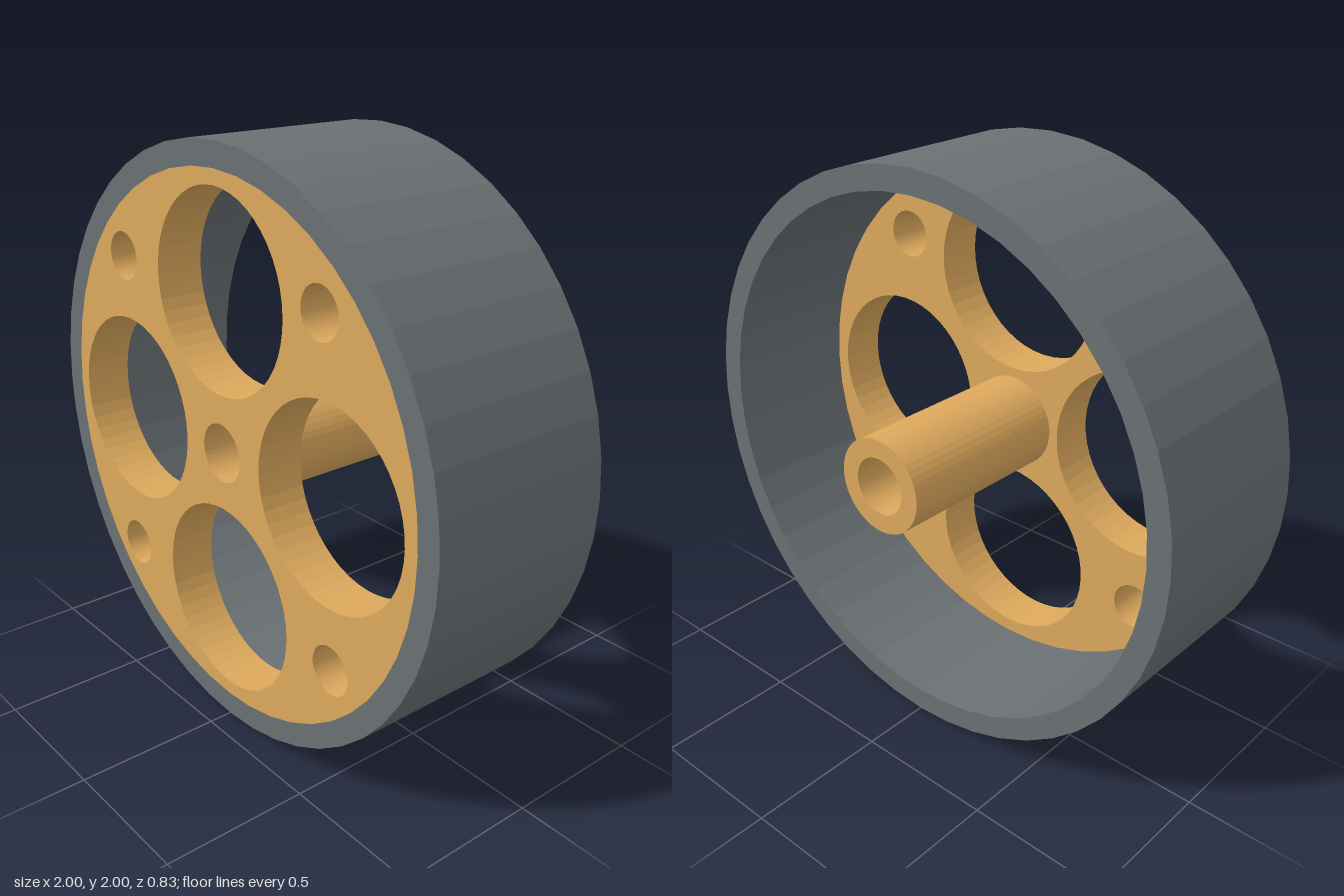
import * as THREE from 'three';

const SEGMENTS = 48;
const FRONT = 0.417, BACK = -0.25, PLATE = 0.167;

// Circle as an n-sided outline, optionally clockwise for holes
function circle(PathType, x, y, r) {
  const points = [];
  for (let i = 0; i < SEGMENTS; i++) {
    const a = (i / SEGMENTS) * Math.PI * 2;
    points.push(new THREE.Vector2(x + r * Math.cos(a), y + r * Math.sin(a)));
  }
  return new PathType(points);
}

// Disc with round holes [x, y, r], extruded between two z positions
function drilledDisc(name, radius, holes, zBack, zFront, material) {
  const shape = circle(THREE.Shape, 0, 0, radius);
  for (const [x, y, r] of holes) shape.holes.push(circle(THREE.Path, x, y, r));
  const geometry = new THREE.ExtrudeGeometry(shape, {
    depth: zFront - zBack, bevelEnabled: false, steps: 1,
  });
  const mesh = new THREE.Mesh(geometry, material);
  mesh.name = name;
  mesh.position.z = zBack;
  return mesh;
}

export function createModel() {
  const group = new THREE.Group();
  group.name = 'wheel';
  const rubber = new THREE.MeshStandardMaterial({ color: 0x6a7073 });
  const amber = new THREE.MeshStandardMaterial({ color: 0xdca85c });
  const bore = [0, 0, 0.1];

  // Wide tyre ring
  group.add(drilledDisc('tyre', 1, [[0, 0, 0.917]], BACK, FRONT, rubber));

  // Front plate: axle bore, four large openings, four small holes
  const holes = [bore];
  for (let i = 0; i < 4; i++) {
    const a = (i * Math.PI) / 2;
    holes.push([0.533 * Math.cos(a), 0.533 * Math.sin(a), 0.333]);
  }
  for (const [x, y] of [[-0.55, 0.55], [0.5, 0.585], [-0.567, -0.547], [0.55, -0.547]]) {
    holes.push([x, y, 0.084]);
  }
  group.add(drilledDisc('wheelPlate', 0.917, holes, FRONT - PLATE, FRONT, amber));

  // Hollow hub running out past the back of the tyre
  group.add(drilledDisc('hub', 0.167, [bore], -0.417, FRONT - PLATE, amber));

  group.position.y = 1;
  const model = new THREE.Group();
  model.add(group);
  return model;
}
